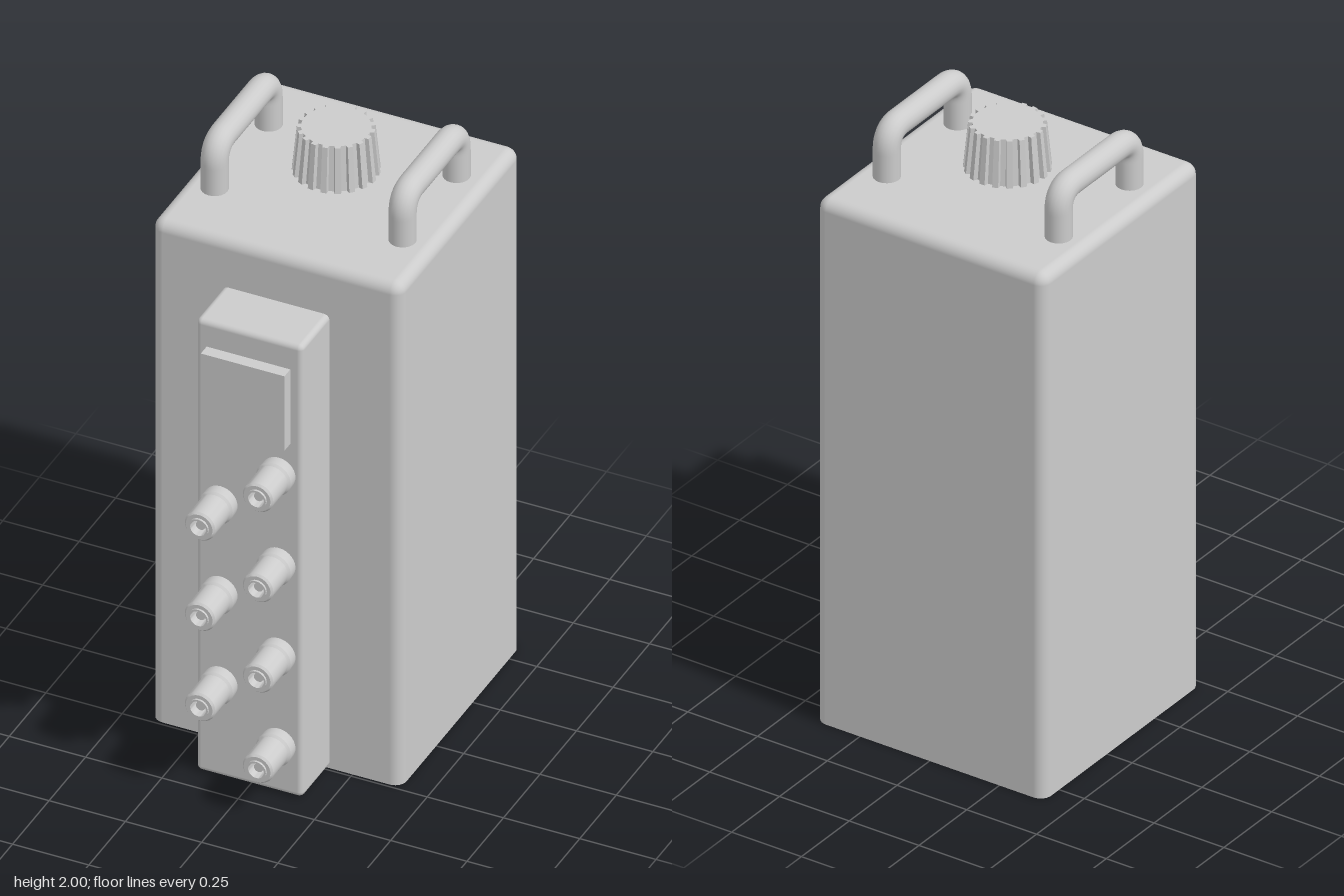
import * as THREE from 'three';
import { RoundedBoxGeometry } from 'three/addons/geometries/RoundedBoxGeometry.js';
import { toCreasedNormals } from 'three/addons/utils/BufferGeometryUtils.js';

const grey = new THREE.MeshStandardMaterial({ color: 0xcccccc });

function add(parent, name, geometry, x = 0, y = 0, z = 0) {
  const mesh = new THREE.Mesh(geometry, grey);
  mesh.name = name;
  mesh.position.set(x, y, z);
  parent.add(mesh);
  return mesh;
}

// Rounded box whose lower rounding is pressed flat, standing on y = 0
function flatBottomBox(w, h, d, r) {
  const g = new RoundedBoxGeometry(w, h + r, d, 4, r);
  g.translate(0, (h - r) / 2, 0);
  const p = g.attributes.position, n = g.attributes.normal;
  for (let i = 0; i < p.count; i += 3) {
    const under = [0, 1, 2].every((k) => p.getY(i + k) < 1e-5);
    for (let k = i; k < i + 3; k++) {
      if (under) n.setXYZ(k, 0, -1, 0);
      p.setY(k, Math.max(0, p.getY(k)));
    }
  }
  return g;
}

// Toothed cap that narrows towards its top
function ribbedCap(teeth, rOuter, rInner, height, topScale) {
  const shape = new THREE.Shape();
  for (let i = 0; i < teeth; i++) {
    [[0, rInner], [0.42, rInner], [0.5, rOuter], [0.92, rOuter]].forEach(([t, r], k) => {
      const a = ((i + t) / teeth) * Math.PI * 2;
      const x = Math.cos(a) * r, y = Math.sin(a) * r;
      if (i === 0 && k === 0) shape.moveTo(x, y);
      else shape.lineTo(x, y);
    });
  }
  shape.closePath();
  const g = new THREE.ExtrudeGeometry(shape, { depth: height, bevelEnabled: false });
  g.rotateX(-Math.PI / 2);
  const p = g.attributes.position;
  for (let i = 0; i < p.count; i++) {
    const s = 1 + (topScale - 1) * (p.getY(i) / height);
    p.setX(i, p.getX(i) * s);
    p.setZ(i, p.getZ(i) * s);
  }
  g.computeVertexNormals();
  return g;
}

// U-shaped grip path with rounded corners
function handleGeometry(zBack, zFront, yBase, yTop, corner, radius) {
  const v = (y, z) => new THREE.Vector3(0, y, z);
  const path = new THREE.CurvePath();
  path.add(new THREE.LineCurve3(v(yBase, zFront), v(yTop - corner, zFront)));
  path.add(new THREE.QuadraticBezierCurve3(v(yTop - corner, zFront), v(yTop, zFront), v(yTop, zFront - corner)));
  path.add(new THREE.LineCurve3(v(yTop, zFront - corner), v(yTop, zBack + corner)));
  path.add(new THREE.QuadraticBezierCurve3(v(yTop, zBack + corner), v(yTop, zBack), v(yTop - corner, zBack)));
  path.add(new THREE.LineCurve3(v(yTop - corner, zBack), v(yBase, zBack)));
  return new THREE.TubeGeometry(path, 80, radius, 20, false);
}

export function createModel() {
  const model = new THREE.Group();
  model.name = 'canister';

  // Main body and front panel
  add(model, 'body', flatBottomBox(0.82, 1.8, 0.82, 0.038), 0, 0, -0.17);
  add(model, 'frontPanel', new RoundedBoxGeometry(0.35, 1.625, 0.25, 3, 0.018), 0, 0.8175, 0.3);
  add(model, 'screen', new THREE.BoxGeometry(0.274, 0.268, 0.06), -0.002, 1.405, 0.435);

  // Connectors staggered down the panel, each with a collar, barrel and hollow tip
  const profile = [
    [0.055, 0], [0.057, 0.012], [0.057, 0.038], [0.051, 0.046], [0.05, 0.143], [0.044, 0.15],
    [0.032, 0.15], [0.032, 0.157], [0.026, 0.157], [0.024, 0.115], [0.015, 0.115], [0.015, 0.14], [0, 0.14],
  ].map(([r, y]) => new THREE.Vector2(r, y));
  const connector = toCreasedNormals(new THREE.LatheGeometry(profile, 28), 0.6);
  connector.rotateX(Math.PI / 2);
  [1.155, 0.995, 0.83, 0.67, 0.505, 0.345, 0.18].forEach((y, i) => {
    add(model, 'connector' + (i + 1), connector, i % 2 ? -0.093 : 0.097, y, 0.423);
  });

  // Filler cap on its neck
  add(model, 'capNeck', new THREE.CylinderGeometry(0.041, 0.041, 0.08, 28), 0, 1.825, -0.172);
  add(model, 'cap', ribbedCap(19, 0.132, 0.118, 0.153, 0.885), 0, 1.847, -0.172);

  // Carrying handles
  const handle = handleGeometry(-0.357, 0.013, 1.78, 1.958, 0.065, 0.042);
  add(model, 'leftHandle', handle, 0.306, 0, 0);
  add(model, 'rightHandle', handle, -0.31, 0, 0);

  return model;
}
